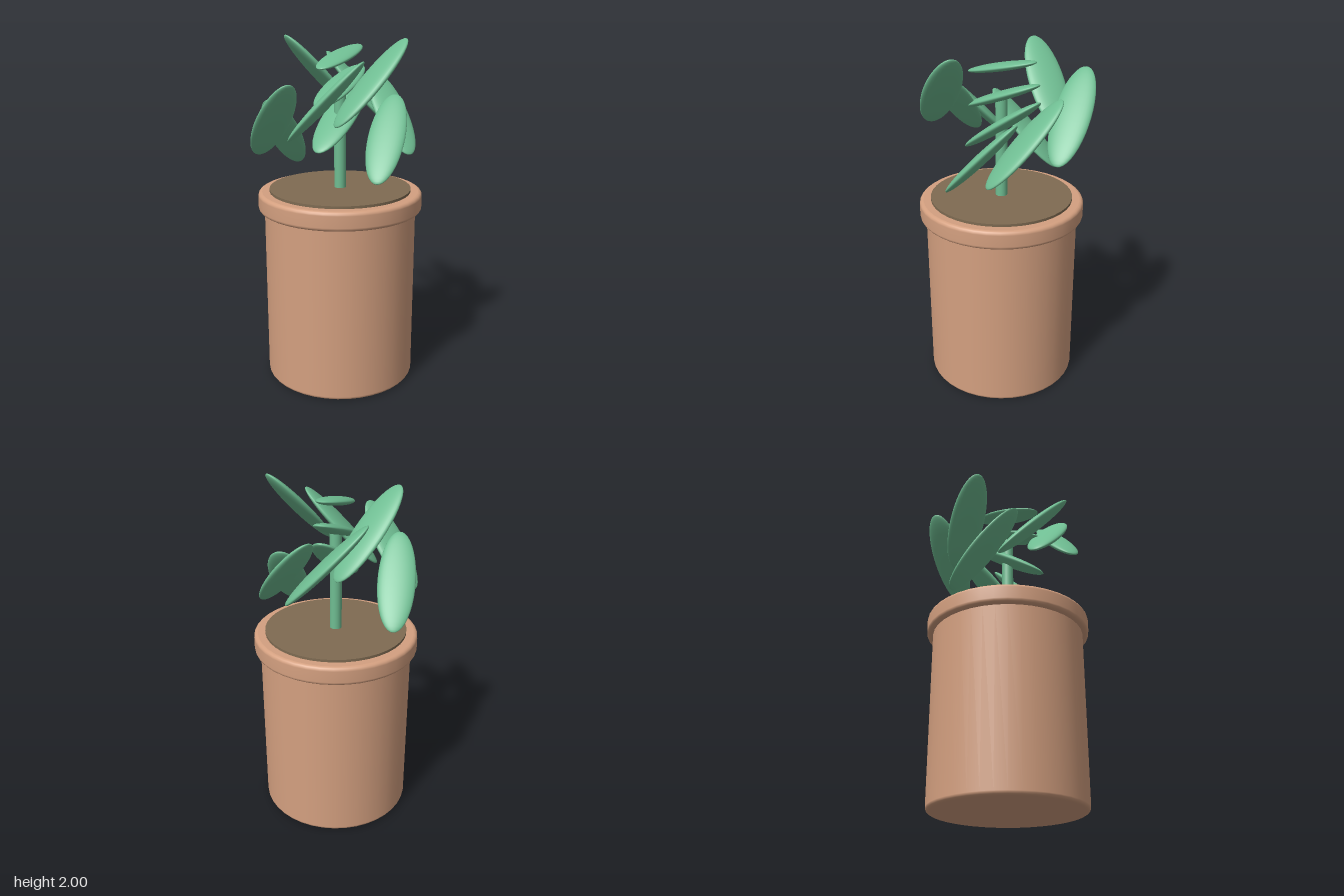
import * as THREE from 'three';

const Z0 = 0.007; // the pot axis sits slightly forward of the centre

export function createModel() {
  const clay = new THREE.MeshStandardMaterial({ color: 0xd4a080 });
  clay.name = 'clay';
  const soilMat = new THREE.MeshStandardMaterial({ color: 0x7f6b52 });
  soilMat.name = 'soil';
  const green = new THREE.MeshStandardMaterial({ color: 0x6fbd92 });
  green.name = 'leafGreen';

  const model = new THREE.Group();
  model.name = 'pottedPlant';
  const plant = new THREE.Group();
  plant.position.z = Z0;
  model.add(plant);

  const add = (name, geometry, material, y = 0) => {
    const mesh = new THREE.Mesh(geometry, material);
    mesh.name = name;
    mesh.position.y = y;
    plant.add(mesh);
    return mesh;
  };

  // Solid disc with rounded edges; the flat faces keep their own normals
  const roundedDisc = (radius, y0, y1, bevel) => {
    const profile = [[0, y0], [radius - bevel, y0], [radius - bevel, y0]];
    for (let i = 1; i <= 4; i++) {
      const a = (i / 4) * Math.PI / 2;
      profile.push([radius - bevel + bevel * Math.sin(a), y0 + bevel - bevel * Math.cos(a)]);
    }
    for (let i = 0; i <= 4; i++) {
      const a = (i / 4) * Math.PI / 2;
      profile.push([radius - bevel + bevel * Math.cos(a), y1 - bevel + bevel * Math.sin(a)]);
    }
    profile.push([radius - bevel, y1], [0, y1]);
    return new THREE.LatheGeometry(profile.map(([x, y]) => new THREE.Vector2(x, y)), 40);
  };

  // Pot, rim and soil
  add('potBody', roundedDisc(0.44, 0, 1.06, 0.02), clay);
  add('potRim', roundedDisc(0.475, 1.02, 1.13, 0.022), clay);
  add('soil', new THREE.CylinderGeometry(0.41, 0.41, 0.045, 40), soilMat, 1.1225);

  // Stem
  add('stem', new THREE.CylinderGeometry(0.034, 0.034, 0.6, 20), green, 1.43);

  // A leaf is a flattened ellipsoid whose far (-z) tip is tilted upward, then turned about y
  const leafShape = new THREE.SphereGeometry(1, 32, 20).rotateX(Math.PI / 2);
  const addLeaf = (name, x, y, z, turn, tilt, size) => {
    const leaf = add(name, leafShape, green, y);
    leaf.position.set(x, y, z);
    leaf.scale.set(0.107 * size, 0.031 * size, 0.303 * size);
    leaf.rotation.set(THREE.MathUtils.degToRad(tilt), turn, 0, 'YXZ');
  };

  // Ring of eight leaves, cycling through four heights and three radii
  for (let i = 0; i < 8; i++) {
    const a = THREE.MathUtils.degToRad(12 + 45 * i);
    const r = 0.271 + 0.07 * (i % 3);
    addLeaf('outerLeaf' + (i + 1), r * Math.cos(a), 1.447 + 0.111 * (i % 4), -r * Math.sin(a), a, 46, 1);
  }

  // Three leaves stacked on the stem axis, smaller and flatter towards the top
  [[1.56, 34, 1], [1.73, 21, 0.87], [1.89, 13, 0.76]].forEach(([y, tilt, size], i) =>
    addLeaf('crownLeaf' + (i + 1), 0, y, 0, 0, tilt, size));

  return model;
}
